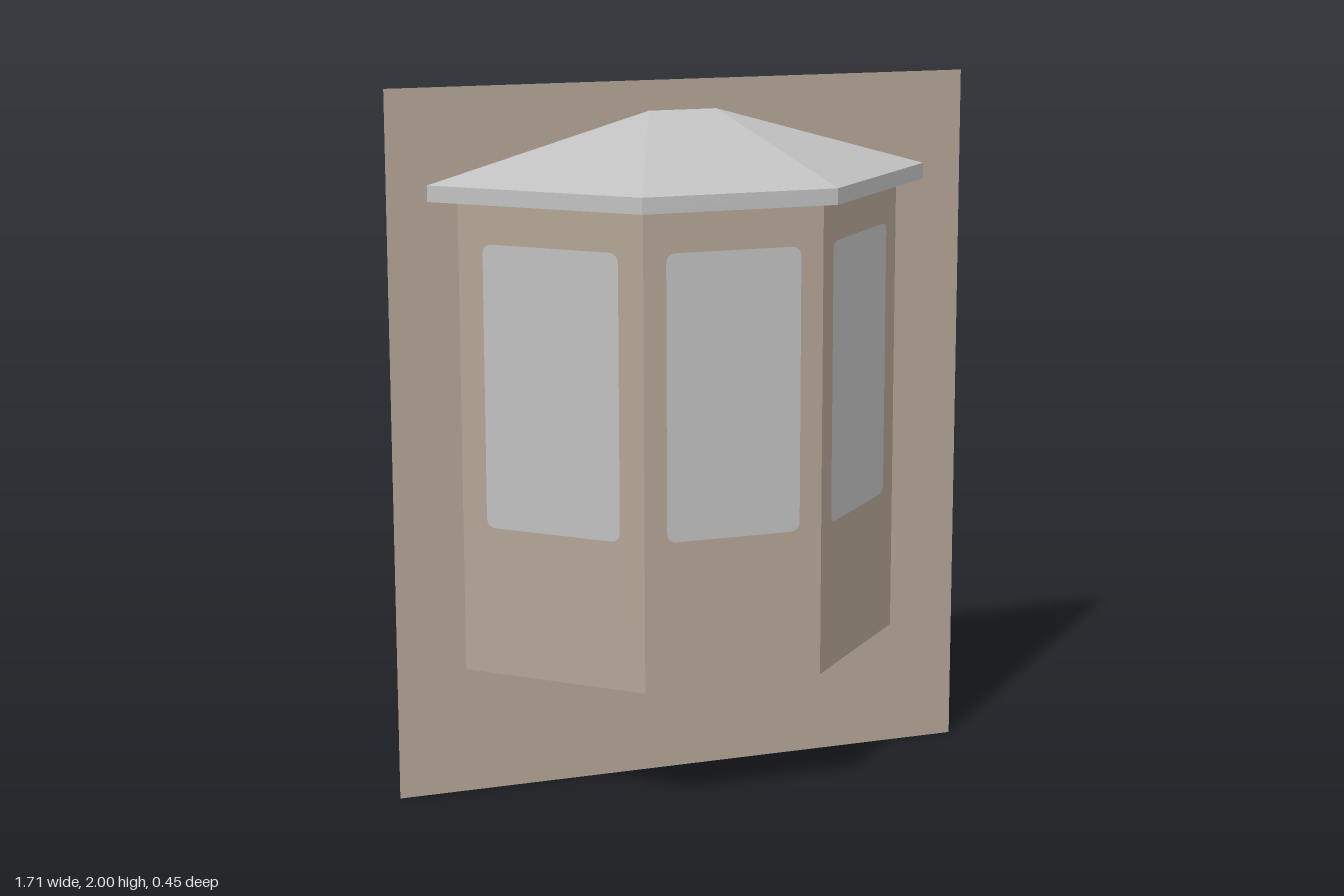
import * as THREE from 'three';

const BACK = -0.225;                       // plane of the house wall
const SILL = 0.36, EAVE = 1.69, FASCIA = 1.735, RIDGE = 1.915;
// plan outlines of the bay and of its roof, running from -x to +x: [x, z]
const BAY = [[-0.655, BACK], [-0.26, 0.175], [0.26, 0.175], [0.655, BACK]];
const ROOF = [[-0.74, BACK], [-0.28, 0.225], [0.28, 0.225], [0.74, BACK]];

const shapeOf = (pts) => new THREE.Shape(pts.map(([x, y]) => new THREE.Vector2(x, y)));

// rounded rectangle centred on x, between two heights
function roundedRect(w, y0, y1, r) {
  const s = new THREE.Shape(), h = w / 2;
  s.moveTo(-h + r, y0);
  s.lineTo(h - r, y0).quadraticCurveTo(h, y0, h, y0 + r);
  s.lineTo(h, y1 - r).quadraticCurveTo(h, y1, h - r, y1);
  s.lineTo(-h + r, y1).quadraticCurveTo(-h, y1, -h, y1 - r);
  s.lineTo(-h, y0 + r).quadraticCurveTo(-h, y0, -h + r, y0);
  return s;
}

// flat face from a fan of 3D corners
function face(pts) {
  const v = [];
  for (let i = 1; i < pts.length - 1; i++) v.push(...pts[0], ...pts[i], ...pts[i + 1]);
  const g = new THREE.BufferGeometry();
  g.setAttribute('position', new THREE.Float32BufferAttribute(v, 3));
  g.computeVertexNormals();
  return g;
}

export function createModel() {
  const model = new THREE.Group();
  model.name = 'bayWindow';
  const material = (name, color) => {
    const m = new THREE.MeshStandardMaterial({ color, side: THREE.DoubleSide });
    m.name = name;
    return m;
  };
  const plaster = material('brown plaster', 0xb3a495);
  const grey = material('light grey', 0xc0c0c0);

  const add = (name, geometry, mat, parent = model) => {
    const mesh = new THREE.Mesh(geometry, mat);
    mesh.name = name;
    parent.add(mesh);
    return mesh;
  };

  // house wall, cut out along the outline of the bay and its roof
  const wall = shapeOf([[-0.855, 0], [0.855, 0], [0.855, 2], [-0.855, 2]]);
  wall.holes.push(shapeOf([
    [-0.655, SILL], [-0.655, EAVE], [-0.74, EAVE], [-0.74, FASCIA], [-0.1, RIDGE],
    [0.1, RIDGE], [0.74, FASCIA], [0.74, EAVE], [0.655, EAVE], [0.655, SILL],
  ]));
  add('houseWall', new THREE.ShapeGeometry(wall), plaster).position.z = BACK;

  // three bay panels, each with a flush rounded pane
  ['rightBay', 'frontBay', 'leftBay'].forEach((name, i) => {
    const [x0, z0] = BAY[i], [x1, z1] = BAY[i + 1];
    const half = Math.hypot(x1 - x0, z1 - z0) / 2;
    const pane = roundedRect(i === 1 ? 0.39 : 0.412, 0.78, 1.575, 0.03);
    const panel = shapeOf([[-half, SILL], [half, SILL], [half, EAVE], [-half, EAVE]]);
    panel.holes.push(pane);
    const bay = new THREE.Group();
    bay.name = name;
    add('panel', new THREE.ShapeGeometry(panel, 6), plaster, bay);
    add('windowPane', new THREE.ShapeGeometry(pane, 6), grey, bay);
    bay.position.set((x0 + x1) / 2, 0, (z0 + z1) / 2);
    bay.rotation.y = Math.atan2(z0 - z1, x1 - x0);
    model.add(bay);
  });

  // bay floor
  add('bayFloor', face(BAY.map(([x, z]) => [x, SILL, z]).reverse()), plaster);

  // roof slopes, fascia boards and the soffit under the overhang
  const ridge = [[-0.1, RIDGE, BACK], [0.1, RIDGE, BACK]];
  const eave = ROOF.map(([x, z]) => [x, FASCIA, z]);
  add('roofRight', face([ridge[0], eave[0], eave[1]]), grey);
  add('roofFront', face([ridge[0], eave[1], eave[2], ridge[1]]), grey);
  add('roofLeft', face([ridge[1], eave[2], eave[3]]), grey);
  for (let i = 0; i < 3; i++) {
    const [a, b] = [ROOF[i], ROOF[i + 1]];
    add('fascia', face([
      [a[0], EAVE, a[1]], [b[0], EAVE, b[1]], [b[0], FASCIA, b[1]], [a[0], FASCIA, a[1]],
    ]), grey);
    const [c, d] = [BAY[i], BAY[i + 1]];
    add('soffit', face([
      [a[0], EAVE, a[1]], [c[0], EAVE, c[1]], [d[0], EAVE, d[1]], [b[0], EAVE, b[1]],
    ]), grey);
  }
  return model;
}
